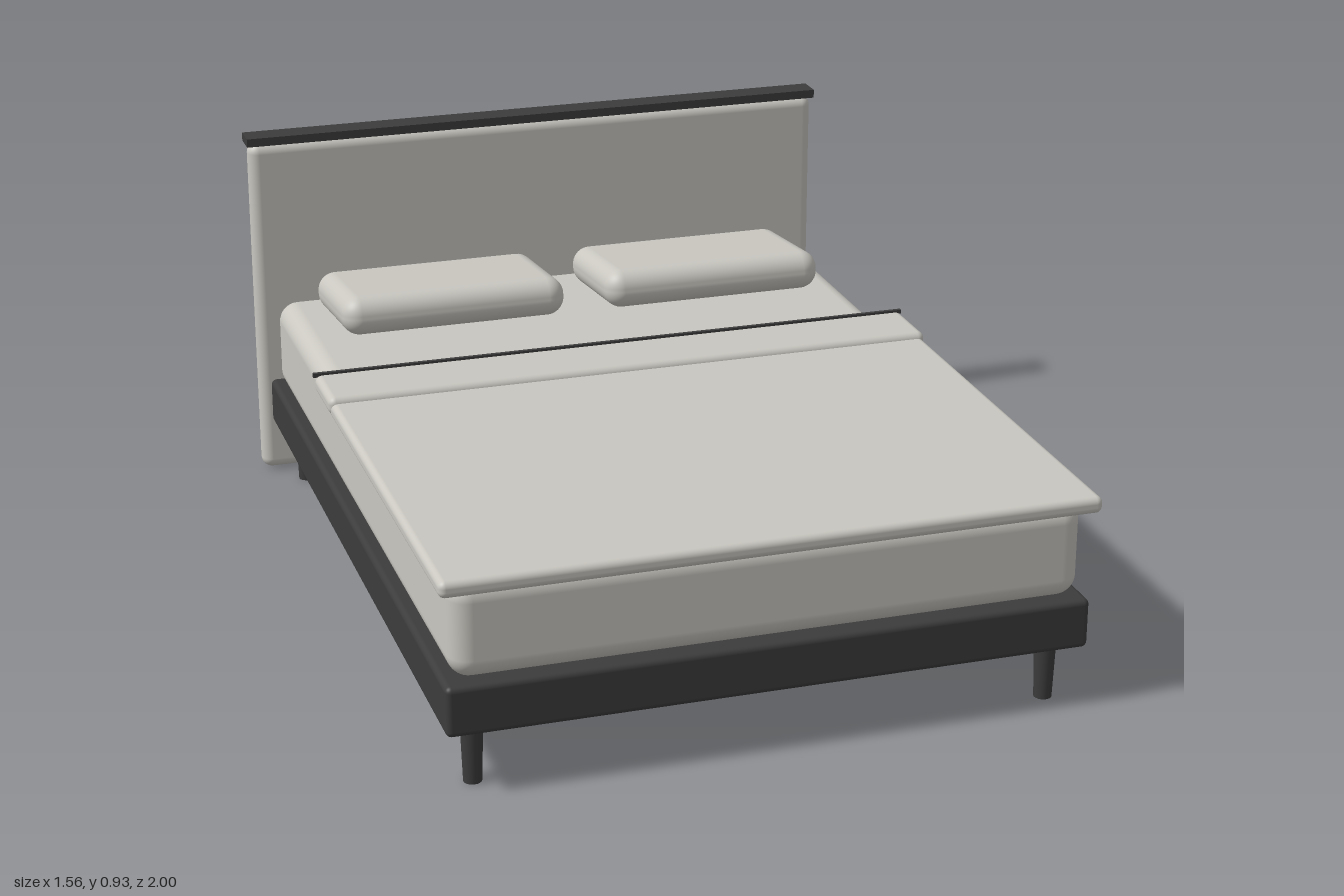
import * as THREE from 'three';
import { RoundedBoxGeometry } from 'three/addons/geometries/RoundedBoxGeometry.js';

export function createModel() {
  const bed = new THREE.Group();
  bed.name = 'bed';

  const linen = new THREE.MeshStandardMaterial({ color: 0xc9c7c0 });
  linen.name = 'linen';
  const charcoal = new THREE.MeshStandardMaterial({ color: 0x3c3c3c });
  charcoal.name = 'charcoal';

  const add = (name, geometry, material, x, y, z) => {
    const mesh = new THREE.Mesh(geometry, material);
    mesh.name = name;
    mesh.position.set(x, y, z);
    bed.add(mesh);
    return mesh;
  };

  // Rounded slab centred on x, given its width and its y and z ranges
  const slab = (name, material, width, y0, y1, z0, z1, radius) =>
    add(name, new RoundedBoxGeometry(width, y1 - y0, z1 - z0, 5, radius), material,
      0, (y0 + y1) / 2, (z0 + z1) / 2);

  // Frame and headboard
  slab('baseFrame', charcoal, 1.495, 0.145, 0.265, -0.93, 0.985, 0.014);
  slab('headboard', linen, 1.55, 0.003, 0.91, -0.995, -0.935, 0.027);
  add('headboardCap', new THREE.BoxGeometry(1.56, 0.022, 0.067), charcoal, 0, 0.918, -0.966);

  // Tapered legs
  for (const x of [-0.675, 0.675]) {
    for (const z of [0.912, -0.855]) {
      add('leg', new THREE.CylinderGeometry(0.026, 0.021, 0.15, 20), charcoal, x, 0.075, z);
    }
  }

  // Bedding
  slab('mattress', linen, 1.46, 0.265, 0.5, -0.895, 0.972, 0.05);
  slab('duvet', linen, 1.52, 0.48, 0.52, -0.235, 1, 0.016);
  slab('duvetFold', linen, 1.53, 0.488, 0.534, -0.237, -0.06, 0.018);

  // Dark piping along the edge of the fold
  add('foldPiping', new THREE.BoxGeometry(1.535, 0.01, 0.01), charcoal, 0, 0.531, -0.237);

  // Pillows, tipped up at the front
  for (const x of [-0.345, 0.345]) {
    const pillow = add('pillow', new RoundedBoxGeometry(0.58, 0.1, 0.37, 6, 0.046), linen, x, 0.557, -0.653);
    pillow.rotation.x = -0.11;
  }

  return bed;
}
